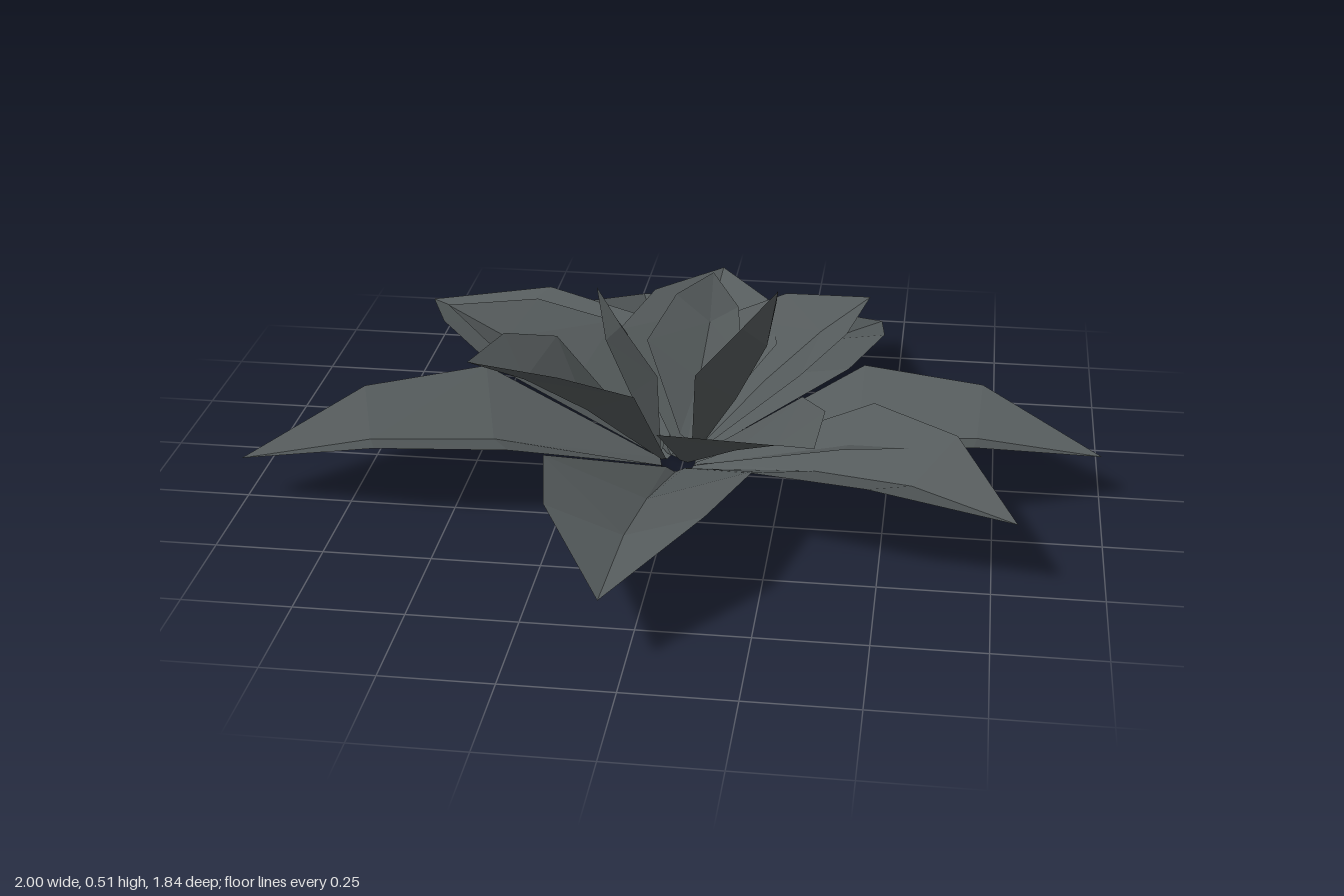
import * as THREE from 'three';

// Common root of all petals
const CX = -0.01, CZ = -0.04;

// Each ring: root height and radius, then two cross-sections across the petal.
// A section holds the distance along the petal (fraction) and height of its fold,
// the same for its raised side edges, and the half width.
// Heights come from the tip height t.
const rings = {
  outerPetal: {
    baseY: 0, baseR: 0.04,
    sections: [
      { mid: 0.43, side: 0.42, half: 0.24, midY: t => 0.09 + 0.17 * t, sideY: t => 0.175 + 0.17 * t },
      { mid: 0.71, side: 0.71, half: 0.175, midY: t => 0.065 + 0.62 * t, sideY: t => 0.125 + 0.62 * t },
    ],
    tips: [
      [1.0, 0.11, 0.01], [0.8, 0.17, 0.49], [-0.05, 0.165, 0.92], [-1.0, 0.11, 0.275],
      [-0.76, 0.13, -0.69], [-0.22, 0.08, -0.92], [0.445, 0.08, -0.81],
    ],
  },
  middlePetal: {
    baseY: 0.025, baseR: 0.045,
    sections: [
      { mid: 0.45, side: 0.41, half: 0.2, midY: t => 0.52 * t, sideY: t => 0.8 * t },
      { mid: 0.74, side: 0.71, half: 0.145, midY: t => 0.81 * t, sideY: t => 0.96 * t },
    ],
    tips: [
      [0.35, 0.285, 0.41], [-0.45, 0.39, 0.28], [-0.6, 0.33, -0.185],
      [0.04, 0.31, -0.57], [0.43, 0.34, -0.345],
    ],
  },
  innerPetal: {
    baseY: 0.045, baseR: 0.05,
    sections: [
      { mid: 0.6, side: 0.45, half: 0.13, midY: t => 0.42 * t, sideY: t => 0.62 * t },
      { mid: 0.9, side: 0.82, half: 0.085, midY: t => 0.72 * t, sideY: t => 0.86 * t },
    ],
    tips: [[0.235, 0.51, 0.06], [0.055, 0.44, -0.21], [-0.19, 0.49, 0.04]],
  },
};

// Folded petal: rows of left edge, fold and right edge, closed by a pointed tip
function petalGeometry(ring, [tx, ty, tz]) {
  const length = Math.hypot(tx - CX, tz - CZ);
  const dx = (tx - CX) / length, dz = (tz - CZ) / length;
  const points = [];
  const add = (along, across, y) =>
    points.push(CX + dx * along - dz * across, y, CZ + dz * along + dx * across);
  const addRow = (mid, side, half, midY, sideY) => {
    add(side, -half, sideY);
    add(mid, 0, midY);
    add(side, half, sideY);
  };

  addRow(ring.baseR, ring.baseR, 0.022, ring.baseY, ring.baseY + 0.012);
  for (const s of ring.sections) {
    addRow(s.mid * length, s.side * length, s.half, s.midY(ty), s.sideY(ty));
  }
  add(length, 0, ty);

  const faces = [];
  for (let row = 0; row < 2; row++) {
    for (let col = 0; col < 2; col++) {
      const a = row * 3 + col, b = a + 1, c = a + 3, d = a + 4;
      // diagonals mirror about the fold
      if (col === 0) faces.push(a, b, d, a, d, c);
      else faces.push(a, b, c, b, d, c);
    }
  }
  faces.push(6, 7, 9, 7, 8, 9);
  // upper side faces up
  for (let i = 0; i < faces.length; i += 3) {
    [faces[i + 1], faces[i + 2]] = [faces[i + 2], faces[i + 1]];
  }

  const indexed = new THREE.BufferGeometry();
  indexed.setAttribute('position', new THREE.Float32BufferAttribute(points, 3));
  indexed.setIndex(faces);
  const geometry = indexed.toNonIndexed(); // flat facets
  geometry.computeVertexNormals();
  return geometry;
}

export function createModel() {
  const flower = new THREE.Group();
  flower.name = 'flower';
  const petalGrey = new THREE.MeshStandardMaterial({ color: 0x555b5c, side: THREE.DoubleSide });
  petalGrey.name = 'petal grey';

  for (const [name, ring] of Object.entries(rings)) {
    const group = new THREE.Group();
    group.name = name + 'Ring';
    ring.tips.forEach((tip, i) => {
      const petal = new THREE.Mesh(petalGeometry(ring, tip), petalGrey);
      petal.name = name + (i + 1);
      group.add(petal);
    });
    flower.add(group);
  }
  return flower;
}
